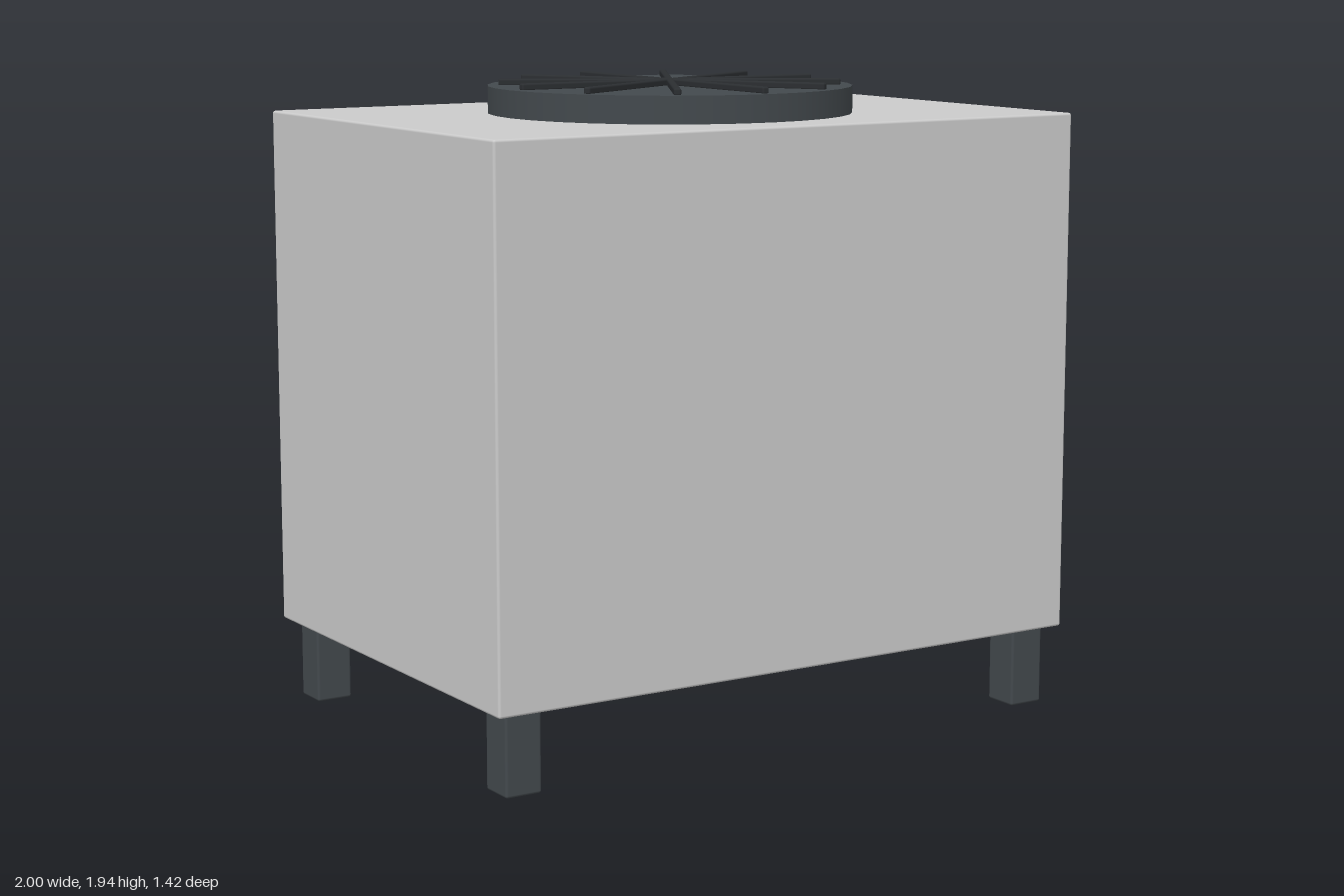
import * as THREE from 'three';
import { RoundedBoxGeometry } from 'three/addons/geometries/RoundedBoxGeometry.js';

export function createModel() {
  const group = new THREE.Group();
  const grey = new THREE.MeshStandardMaterial({ color: 0xcccccc });
  const dark = new THREE.MeshStandardMaterial({ color: 0x43494d });
  const darker = new THREE.MeshStandardMaterial({ color: 0x2b2e31 });
  const midZ = 0.0125;

  const add = (name, geometry, material, x, y, z, parent = group) => {
    const mesh = new THREE.Mesh(geometry, material);
    mesh.name = name;
    mesh.position.set(x, y, z);
    parent.add(mesh);
    return mesh;
  };

  // Cabinet with slightly softened edges
  add('cabinet', new RoundedBoxGeometry(2, 1.595, 1.395, 2, 0.008), grey, 0, 1.0425, midZ);

  // Four square feet
  const legGeometry = new RoundedBoxGeometry(0.115, 0.245, 0.115, 2, 0.008);
  for (const x of [-1, 1]) {
    for (const z of [-1, 1]) {
      add(`${z > 0 ? 'front' : 'back'}${x > 0 ? 'Left' : 'Right'}Leg`,
        legGeometry, dark, x * 0.9, 0.1225, midZ + z * 0.6);
    }
  }

  // Fan housing on the roof
  const fan = new THREE.Group();
  fan.name = 'fan';
  fan.position.set(0, 1.84, midZ);
  group.add(fan);
  add('fanHousing', new THREE.CylinderGeometry(0.555, 0.555, 0.082, 32), dark, 0, 0.041, 0, fan);

  // Six full-width bars cross at the centre to make twelve spokes
  const barGeometry = new RoundedBoxGeometry(1.04, 0.022, 0.022, 2, 0.006);
  for (let i = 0; i < 6; i++) {
    add('grilleBar', barGeometry, darker, 0, 0.09, 0, fan).rotation.y = (i * Math.PI) / 6;
  }

  // Louvre slats across the back
  const slatGeometry = new RoundedBoxGeometry(1.8, 0.05, 0.025, 2, 0.006);
  for (let i = 0; i < 10; i++) {
    const slat = add('louvreSlat', slatGeometry, grey, 0, 0.436 + i * 0.1395, -0.6985);
    slat.rotation.x = 0.08;
  }

  return group;
}
